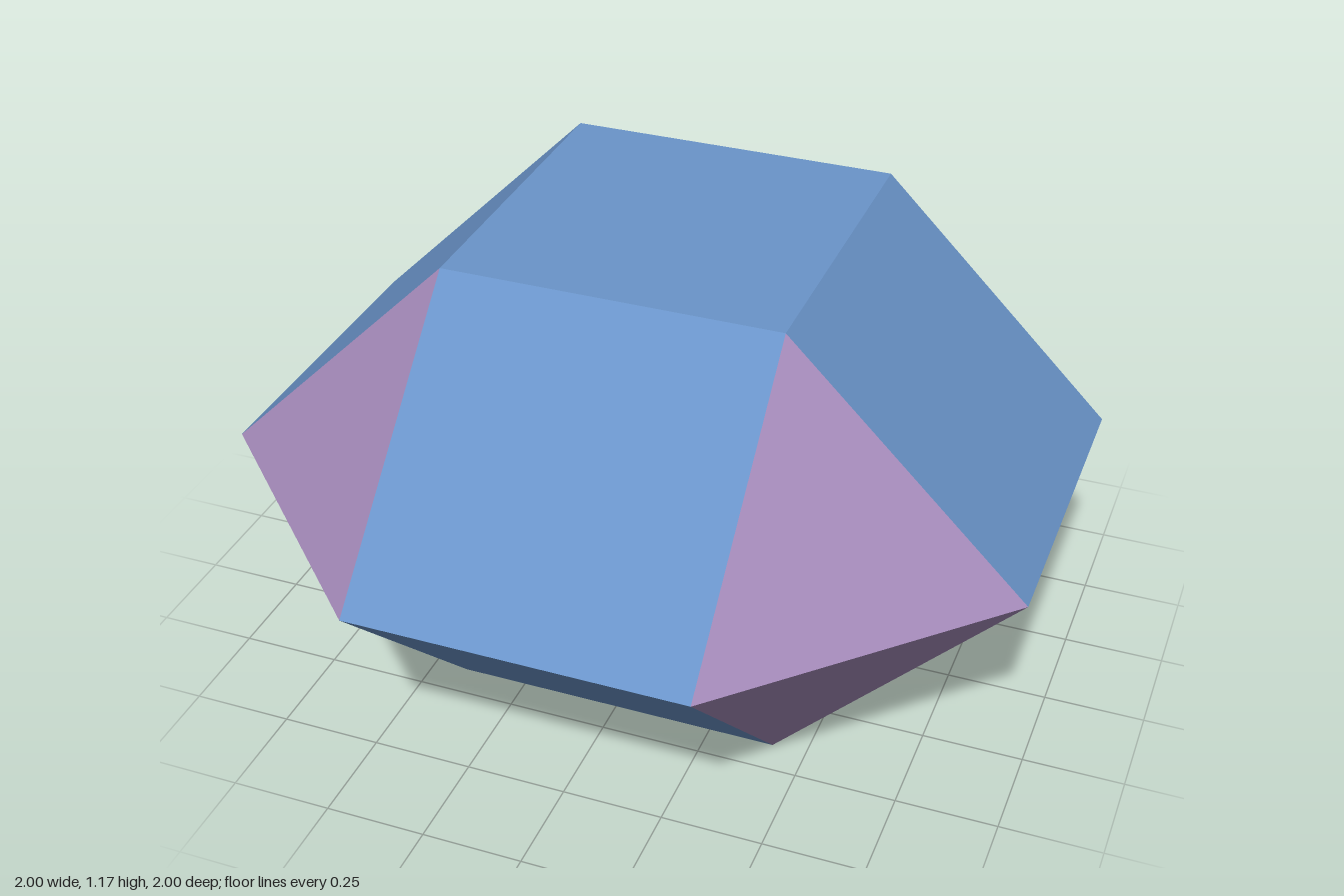
import * as THREE from 'three';

const A = Math.SQRT2 - 1;   // half the edge length
const H = 1 - A;            // height of one cupola
const blue = new THREE.MeshStandardMaterial({ color: 0x6a94c9, flatShading: true });
blue.name = 'blue';
const mauve = new THREE.MeshStandardMaterial({ color: 0xa58bba, flatShading: true });
mauve.name = 'mauve';

// Flat convex face from corners in counter-clockwise order seen from outside
function face(name, corners, material) {
  const points = [];
  for (let i = 1; i < corners.length - 1; i++) points.push(corners[0], corners[i], corners[i + 1]);
  const geometry = new THREE.BufferGeometry().setFromPoints(points.map(p => new THREE.Vector3(...p)));
  geometry.computeVertexNormals();
  const mesh = new THREE.Mesh(geometry, material);
  mesh.name = name;
  return mesh;
}

// Square cupola rising from the octagonal middle at y = 0
function cupola(name) {
  const group = new THREE.Group();
  group.name = name;
  group.add(face('squareCap', [[-A, H, A], [A, H, A], [A, H, -A], [-A, H, -A]], blue));
  for (let i = 0; i < 4; i++) {
    const side = face('slopedSquare', [[-A, 0, 1], [A, 0, 1], [A, H, A], [-A, H, A]], blue);
    const corner = face('cornerTriangle', [[A, 0, 1], [1, 0, A], [A, H, A]], mauve);
    side.rotation.y = corner.rotation.y = i * Math.PI / 2;
    group.add(side, corner);
  }
  group.position.y = H;
  return group;
}

export function createModel() {
  const model = new THREE.Group();
  model.name = 'squareOrthobicupola';
  // Lower half is the upper half turned over
  const lower = cupola('lowerCupola');
  lower.rotation.x = Math.PI;
  model.add(cupola('upperCupola'), lower);
  return model;
}
